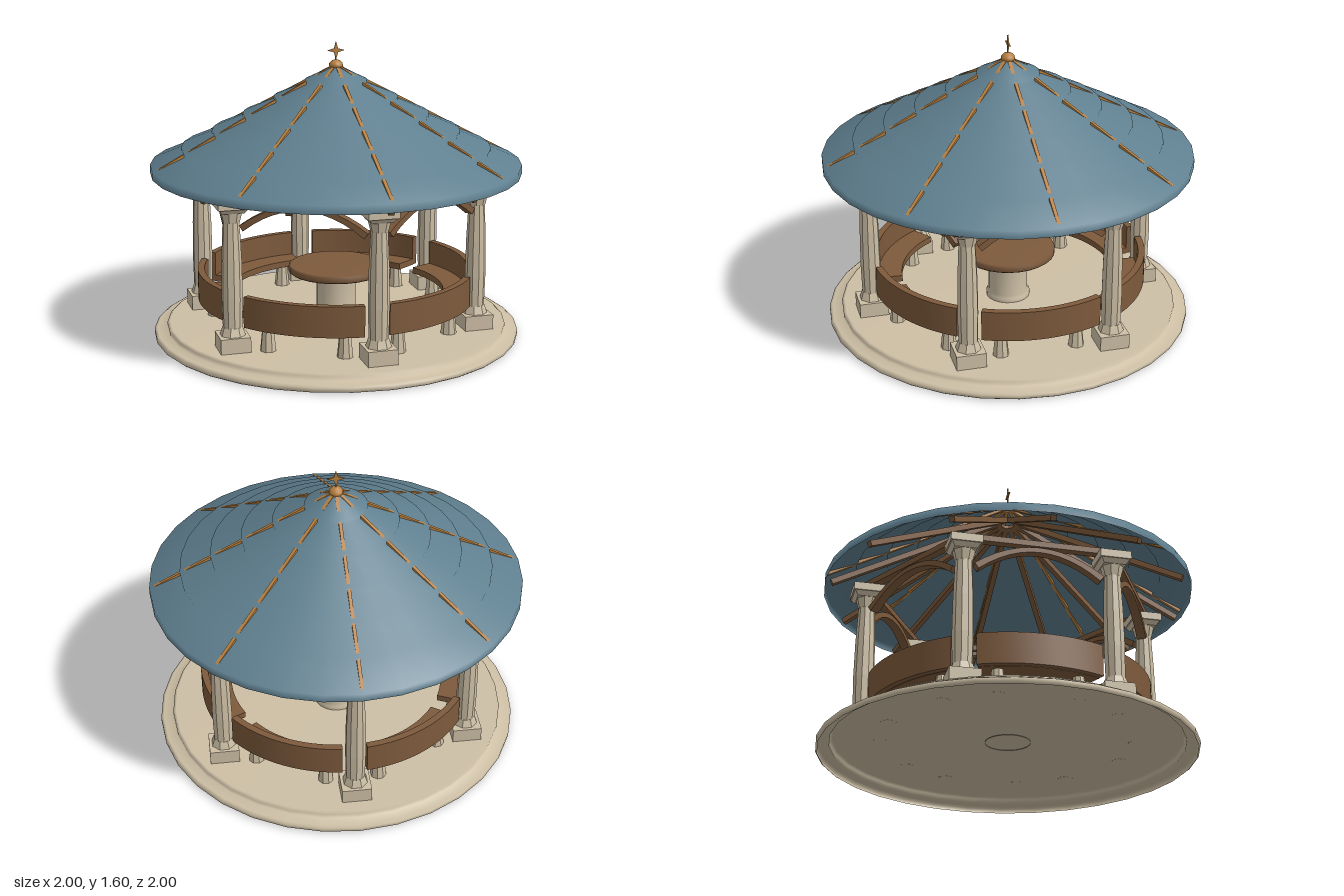
import * as THREE from 'three';
import { toCreasedNormals } from 'three/addons/utils/BufferGeometryUtils.js';

const material = (name, color, side = THREE.FrontSide) => {
  const m = new THREE.MeshStandardMaterial({ color, side });
  m.name = name;
  return m;
};

export function createModel() {
  const model = new THREE.Group();
  model.name = 'pavilion';
  const stone = material('pale stone', 0xcdbfa5, THREE.DoubleSide);
  const wood = material('brown wood', 0x7d5a3c);
  const slate = material('blue slate', 0x5f7f8f, THREE.DoubleSide);
  const gold = material('aged gold', 0xb8803f);

  const add = (parent, name, geo, mat, x = 0, y = 0, z = 0) => {
    const mesh = new THREE.Mesh(geo, mat);
    mesh.name = name;
    mesh.position.set(x, y, z);
    parent.add(mesh);
    return mesh;
  };
  // Smooth turned shape from [radius, height] points
  const lathe = (pts, sides = 32) =>
    new THREE.LatheGeometry(pts.map(p => new THREE.Vector2(...p)), sides);
  const flat = geo => {
    const g = geo.toNonIndexed();
    g.computeVertexNormals();
    return g;
  };
  // Square tapered block; widths are across the flats
  const taper = (top, bottom, h) =>
    flat(new THREE.CylinderGeometry(top / Math.SQRT2, bottom / Math.SQRT2, h, 4).rotateY(Math.PI / 4));
  // Eight-sided drum
  const drum = (top, bottom, h) =>
    flat(new THREE.CylinderGeometry(top, bottom, h, 8).rotateY(Math.PI / 8));
  // Beam of section w by h running from a to b
  const beam = (parent, name, a, b, w, h, mat) => {
    const p = new THREE.Vector3(...a), q = new THREE.Vector3(...b);
    const mesh = new THREE.Mesh(new THREE.BoxGeometry(w, h, p.distanceTo(q)), mat);
    mesh.name = name;
    mesh.position.copy(p).lerp(q, 0.5);
    mesh.lookAt(q);
    parent.add(mesh);
  };
  // Horizontal curved slab centred on +x
  const arcSlab = (r0, r1, half, h) => {
    const s = new THREE.Shape();
    s.absarc(0, 0, r1, -half, half, false);
    s.absarc(0, 0, r0, half, -half, true);
    const g = new THREE.ExtrudeGeometry(s, { depth: h, bevelEnabled: false, curveSegments: 10 });
    return toCreasedNormals(g.rotateX(-Math.PI / 2), 0.6);
  };

  // Two-step round floor, an open shell below
  add(model, 'floor', lathe([[0.99, 0], [1, 0.008], [1, 0.028], [0.985, 0.037],
    [0.93, 0.038], [0.93, 0.062], [0.915, 0.073], [0, 0.075]]), stone);

  // Six columns
  const shaftGeo = flat(lathe([[0.051, 0.19], [0.055, 0.36], [0.052, 0.56], [0.043, 0.77]], 10));
  for (let i = 0; i < 6; i++) {
    const a = i * Math.PI / 3;
    const column = new THREE.Group();
    column.name = 'column';
    column.position.set(0.771 * Math.sin(a), 0, 0.771 * Math.cos(a));
    model.add(column);
    add(column, 'columnBase', new THREE.BoxGeometry(0.158, 0.08, 0.158), stone, 0, 0.115, 0);
    add(column, 'columnFoot', drum(0.053, 0.068, 0.045), stone, 0, 0.177, 0);
    add(column, 'columnShaft', shaftGeo, stone);
    add(column, 'columnNeck', drum(0.06, 0.045, 0.06), stone, 0, 0.785, 0);
    add(column, 'capitalFlare', taper(0.15, 0.115, 0.025), stone, 0, 0.823, 0);
    add(column, 'capitalSlab', new THREE.BoxGeometry(0.163, 0.042, 0.163), stone, 0, 0.856, 0);
  }

  // Six bays: curved bench, arched brace and top beam
  const archShape = new THREE.Shape();
  archShape.moveTo(-0.315, 0.717);
  archShape.quadraticCurveTo(0, 0.965, 0.315, 0.717);
  archShape.lineTo(0.335, 0.745);
  archShape.quadraticCurveTo(0, 0.99, -0.335, 0.745);
  const archGeo = toCreasedNormals(new THREE.ExtrudeGeometry(archShape,
    { depth: 0.05, bevelEnabled: false, curveSegments: 12 })
    .translate(0, 0, -0.025).rotateY(Math.PI / 2), 0.5);
  const half = THREE.MathUtils.degToRad(25);
  const backGeo = arcSlab(0.72, 0.757, half, 0.165);
  const seatGeo = arcSlab(0.59, 0.725, half, 0.035);
  const legGeo = flat(new THREE.CylinderGeometry(0.03, 0.043, 0.13, 8));
  for (let i = 0; i < 6; i++) {
    const bay = new THREE.Group();
    bay.name = 'bay';
    bay.rotation.y = i * Math.PI / 3;
    model.add(bay);
    add(bay, 'benchBack', backGeo, wood, 0, 0.202, 0);
    add(bay, 'benchSeat', seatGeo, wood, 0, 0.2, 0);
    for (const s of [-1, 1])
      add(bay, 'benchLeg', legGeo, stone, 0.67 * Math.cos(0.31), 0.138, s * 0.67 * Math.sin(0.31));
    add(bay, 'archBrace', archGeo, wood, 0.671, 0, 0);
    beam(bay, 'topBeam', [0.671, 0.891, -0.41], [0.671, 0.891, 0.41], 0.045, 0.032, wood);
  }

  // Central round table
  add(model, 'tablePedestal', lathe([[0.12, 0.072], [0.122, 0.1], [0.108, 0.112],
    [0.108, 0.3], [0.12, 0.335]], 20), stone);
  add(model, 'tableTop', lathe([[0, 0.33], [0.25, 0.33], [0.26, 0.338], [0.26, 0.366],
    [0.25, 0.374], [0, 0.375]], 28), wood);

  // Stepped roof as one open shell
  const tiers = 6, roofProfile = [];
  for (let i = 0; i < tiers; i++) {
    const r = 1 - i / tiers, y = 0.95 + i * 0.0895;
    roofProfile.push([r, y - (i ? 0.02 : 0.045)], [r, y]);
  }
  roofProfile.push([0, 1.478]);
  add(model, 'roof', lathe(roofProfile), slate);

  // Gold ribs sunk between the roof lips
  for (let i = 0; i < 8; i++) {
    const s = Math.sin(i * Math.PI / 4), c = Math.cos(i * Math.PI / 4);
    beam(model, 'roofRib', [0.02 * s, 1.464, 0.02 * c], [0.992 * s, 0.942, 0.992 * c], 0.018, 0.016, gold);
  }

  // Rafters below the roof
  for (let i = 0; i < 12; i++) {
    const s = Math.sin(i * Math.PI / 6), c = Math.cos(i * Math.PI / 6);
    beam(model, 'rafter', [0.04 * s, 1.375, 0.04 * c], [0.965 * s, 0.896, 0.965 * c], 0.03, 0.03, wood);
  }

  // Finial with a four-pointed star
  add(model, 'finialCap', lathe([[0.03, 1.455], [0.038, 1.47], [0.036, 1.483],
    [0.022, 1.498], [0, 1.505]], 16), gold);
  add(model, 'finialRod', new THREE.CylinderGeometry(0.004, 0.004, 0.06, 8), gold, 0, 1.525, 0);
  const star = new THREE.Shape();
  for (let i = 0; i < 8; i++) {
    const r = i % 2 ? 0.015 : 0.048, a = i * Math.PI / 4;
    star[i ? 'lineTo' : 'moveTo'](r * Math.cos(a), r * Math.sin(a));
  }
  add(model, 'finialStar', new THREE.ExtrudeGeometry(star, { depth: 0.007, bevelEnabled: false }),
    gold, 0, 1.552, -0.0035);

  return model;
}
